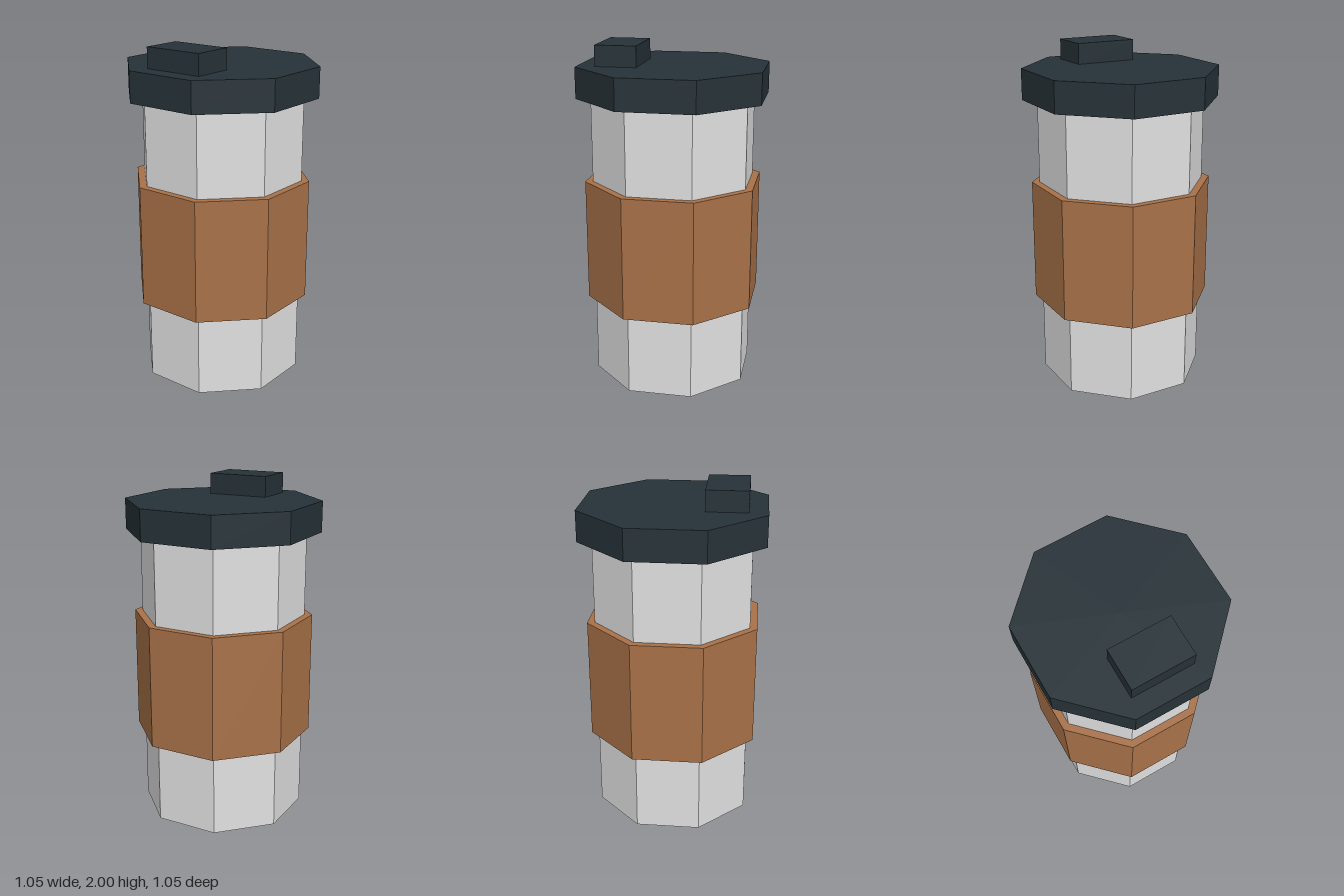
import * as THREE from 'three';

const material = (name, color) => {
  const m = new THREE.MeshStandardMaterial({ color, flatShading: true });
  m.name = name;
  return m;
};

export function createModel() {
  const group = new THREE.Group();
  group.name = 'travelCup';

  const steel = material('light steel', 0xe0e0e0);
  const leather = material('brown sleeve', 0xa87148);
  const dark = material('dark lid', 0x263238);

  // Eight-sided prism with a flat side facing the front
  const octagon = (name, radius, y0, y1, mat) => {
    const geometry = new THREE.CylinderGeometry(radius, radius, y1 - y0, 8);
    geometry.rotateY(Math.PI / 8);
    const mesh = new THREE.Mesh(geometry, mat);
    mesh.name = name;
    mesh.position.y = (y0 + y1) / 2;
    group.add(mesh);
  };

  octagon('body', 0.485, 0, 1.7, steel);
  octagon('sleeve', 0.53, 0.485, 1.21, leather);
  octagon('lid', 0.57, 1.7, 1.88, dark);

  // Sipping spout near the front of the lid
  const spout = new THREE.Mesh(new THREE.BoxGeometry(0.364, 0.12, 0.24), dark);
  spout.name = 'spout';
  spout.position.set(0, 1.94, 0.3);
  group.add(spout);

  return group;
}
